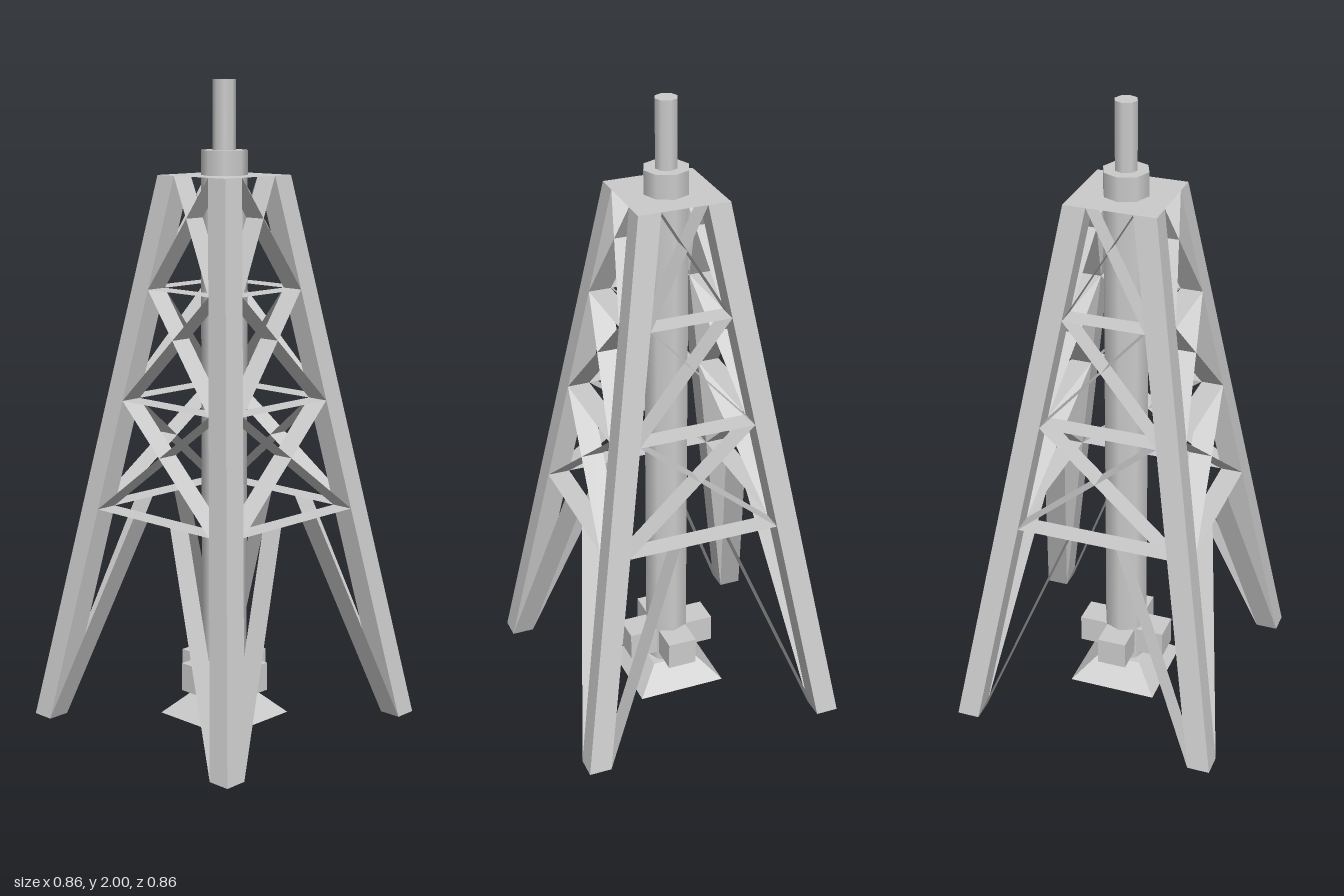
import * as THREE from 'three';

const H = 1.715, T = 0.071; // tower height and leg thickness
const outer = (y) => 0.428 - 0.285 * (y / H); // outer leg edge at height y
const inner = (y) => outer(y) - T;

const flat = new THREE.MeshStandardMaterial({ color: 0xcccccc, flatShading: true });
const smooth = new THREE.MeshStandardMaterial({ color: 0xcccccc });
const thin = new THREE.MeshStandardMaterial({ color: 0xcccccc, flatShading: true, side: THREE.DoubleSide });

function add(parent, name, geometry, material, x = 0, y = 0, z = 0) {
  const mesh = new THREE.Mesh(geometry, material);
  mesh.name = name;
  mesh.position.set(x, y, z);
  parent.add(mesh);
  return mesh;
}

// Flat strip across one side of the tower, as deep as the legs at both ends
function strip(x0, y0, x1, y1) {
  const g = new THREE.BufferGeometry();
  g.setAttribute('position', new THREE.Float32BufferAttribute([
    x0, y0, outer(y0), x1, y1, outer(y1), x1, y1, inner(y1), x0, y0, inner(y0),
  ], 3));
  g.setIndex([0, 1, 2, 0, 2, 3]);
  g.computeVertexNormals();
  return g;
}

// Square leg sheared so that it leans inwards
function legGeometry() {
  const g = new THREE.BoxGeometry(T, H, T).translate(0, H / 2, 0);
  const p = g.attributes.position;
  for (let i = 0; i < p.count; i++) {
    const mid = outer(p.getY(i)) - T / 2;
    p.setX(i, p.getX(i) + mid);
    p.setZ(i, p.getZ(i) + mid);
  }
  g.computeVertexNormals();
  return g;
}

export function createModel() {
  const model = new THREE.Group();
  model.name = 'drillingTower';
  const levels = [0.4, 0.6, 0.8, 1].map((t) => t * H);

  for (let i = 0; i < 4; i++) {
    const side = new THREE.Group();
    side.name = 'towerSide';
    side.rotation.y = i * Math.PI / 2;
    model.add(side);

    add(side, 'leg', legGeometry(), flat);
    add(side, 'collarBlock', new THREE.BoxGeometry(0.094, 0.09, 0.094), flat, 0, 0.145, 0.096);

    // Horizontal struts
    for (const y of levels.slice(0, 3)) {
      add(side, 'crossbar', strip(-inner(y), y, inner(y), y), thin);
    }
    for (const s of [-1, 1]) {
      // Lower struts from the feet to the first crossbar
      add(side, 'footBrace', strip(s * inner(0), 0, s * 0.08, levels[0]), thin);
      // Crossed braces between the levels
      for (let k = 0; k < 3; k++) {
        const a = levels[k], b = levels[k + 1];
        add(side, 'crossBrace', strip(s * inner(a), a, -s * inner(b), b), thin);
      }
    }
  }

  // Thin deck on top of the legs
  add(model, 'topDeck', new THREE.PlaneGeometry(2 * outer(H), 2 * outer(H)).rotateX(-Math.PI / 2), thin, 0, H, 0);

  // Central pipe and the rod above it
  add(model, 'pipe', new THREE.CylinderGeometry(0.071, 0.071, 1.72, 8), smooth, 0, 0.93, 0);
  add(model, 'rod', new THREE.CylinderGeometry(0.035, 0.035, 0.21, 8), smooth, 0, 1.895, 0);

  // Square tapered foot of the pipe
  const foot = new THREE.CylinderGeometry(0.071 * Math.SQRT2, 0.143 * Math.SQRT2, 0.073, 4).rotateY(Math.PI / 4);
  add(model, 'foot', foot, flat, 0, 0.0365, 0);

  return model;
}
